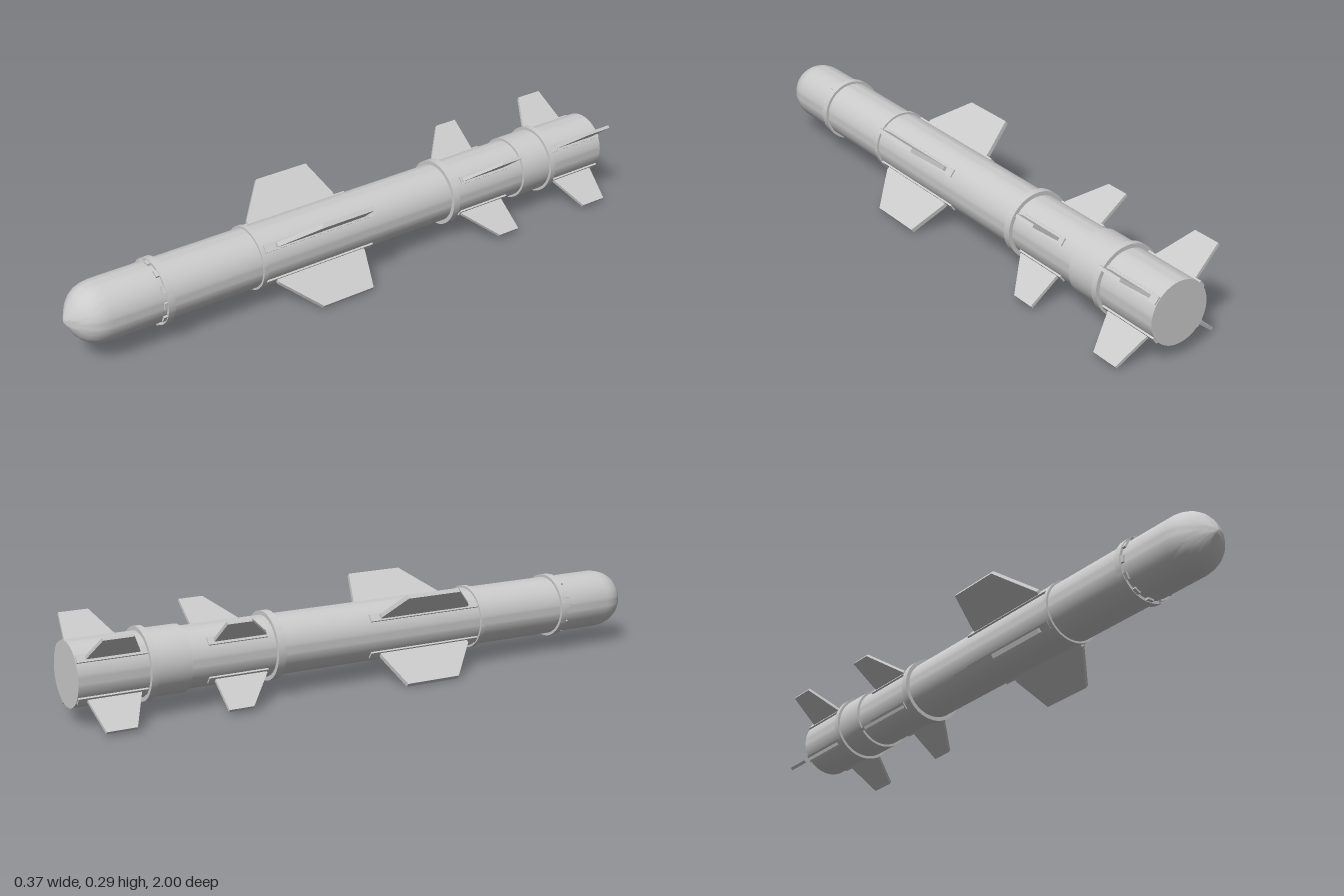
import * as THREE from 'three';
import { toCreasedNormals } from 'three/addons/utils/BufferGeometryUtils.js';

const AXIS_Y = 0.147;
const FIN_ANGLE = THREE.MathUtils.degToRad(37.6);
const material = new THREE.MeshStandardMaterial({ color: 0xcccccc });

export function createModel() {
  const model = new THREE.Group();
  model.name = 'missile';
  const body = new THREE.Group();
  body.name = 'airframe';
  body.position.y = AXIS_Y;
  model.add(body);

  const add = (name, geometry, parent = body) => {
    const mesh = new THREE.Mesh(geometry, material);
    mesh.name = name;
    parent.add(mesh);
    return mesh;
  };

  // Turned part: [radius, z] pairs ordered from back to front
  const turned = (name, profile) => {
    const points = profile.map(([r, z]) => new THREE.Vector2(r, z));
    const geometry = new THREE.LatheGeometry(points, 64).rotateX(Math.PI / 2);
    add(name, toCreasedNormals(geometry, 0.5));
  };
  const drum = (name, r, back, front) =>
    turned(name, [[0, back], [r, back], [r, front], [0, front]]);

  // Body sections
  drum('mainTube', 0.095, -0.66, 0.7);
  drum('boosterCollar', 0.103, -0.765, -0.65);
  drum('tailSection', 0.099, -1, -0.76);
  turned('noseCone', [
    [0, 0.69], [0.095, 0.69], [0.095, 0.89], [0.092, 0.913], [0.085, 0.935],
    [0.073, 0.954], [0.056, 0.97], [0.034, 0.984], [0.012, 0.996], [0, 1],
  ]);

  // Joint rings
  drum('noseRing', 0.104, 0.692, 0.715);
  drum('frontRing', 0.102, 0.368, 0.383);
  drum('middleRing', 0.108, -0.371, -0.346);
  drum('rearRing', 0.112, -0.782, -0.762);

  // Small lugs around the front of the nose ring
  for (let i = 0; i < 12; i++) {
    const lug = new THREE.BoxGeometry(0.022, 0.01, 0.014);
    lug.translate(0, 0.096, 0.719).rotateZ((i * Math.PI) / 6);
    add('noseLug', lug);
  }

  // Fin sets: outline is [z, radius]; the strip is the mounting rail under each fin
  const finSets = [
    { name: 'mainWing', thickness: 0.014, strip: [-0.035, 0.365], stripTop: 0.1,
      outline: [[0, 0.08], [0, 0.11], [0.037, 0.231], [0.225, 0.231], [0.325, 0.11], [0.325, 0.08]] },
    { name: 'middleFin', thickness: 0.01, strip: [-0.59, -0.395], stripTop: 0.1,
      outline: [[-0.57, 0.08], [-0.57, 0.217], [-0.49, 0.217], [-0.4, 0.105], [-0.4, 0.08]] },
    { name: 'tailFin', thickness: 0.01, strip: [-0.998, -0.785], stripTop: 0.104,
      outline: [[-0.97, 0.08], [-0.97, 0.105], [-0.953, 0.223], [-0.86, 0.223], [-0.805, 0.105], [-0.805, 0.08]] },
  ];
  const angles = [FIN_ANGLE, Math.PI - FIN_ANGLE, Math.PI + FIN_ANGLE, -FIN_ANGLE];

  for (const { name, thickness, strip, stripTop, outline } of finSets) {
    const shape = new THREE.Shape(outline.map(([z, r]) => new THREE.Vector2(z, r)));
    const finGeometry = new THREE.ExtrudeGeometry(shape, { depth: thickness, bevelEnabled: false });
    finGeometry.translate(0, 0, -thickness / 2).rotateY(-Math.PI / 2);

    const [back, front] = strip;
    const railGeometry = new THREE.BoxGeometry(0.025, 0.02, front - back);
    railGeometry.translate(0, stripTop - 0.01, (back + front) / 2);

    for (const angle of angles) {
      const group = new THREE.Group();
      group.name = name;
      group.rotation.z = angle - Math.PI / 2;
      add(name + 'Blade', finGeometry, group);
      add(name + 'Rail', railGeometry, group);
      body.add(group);
    }
  }

  return model;
}
